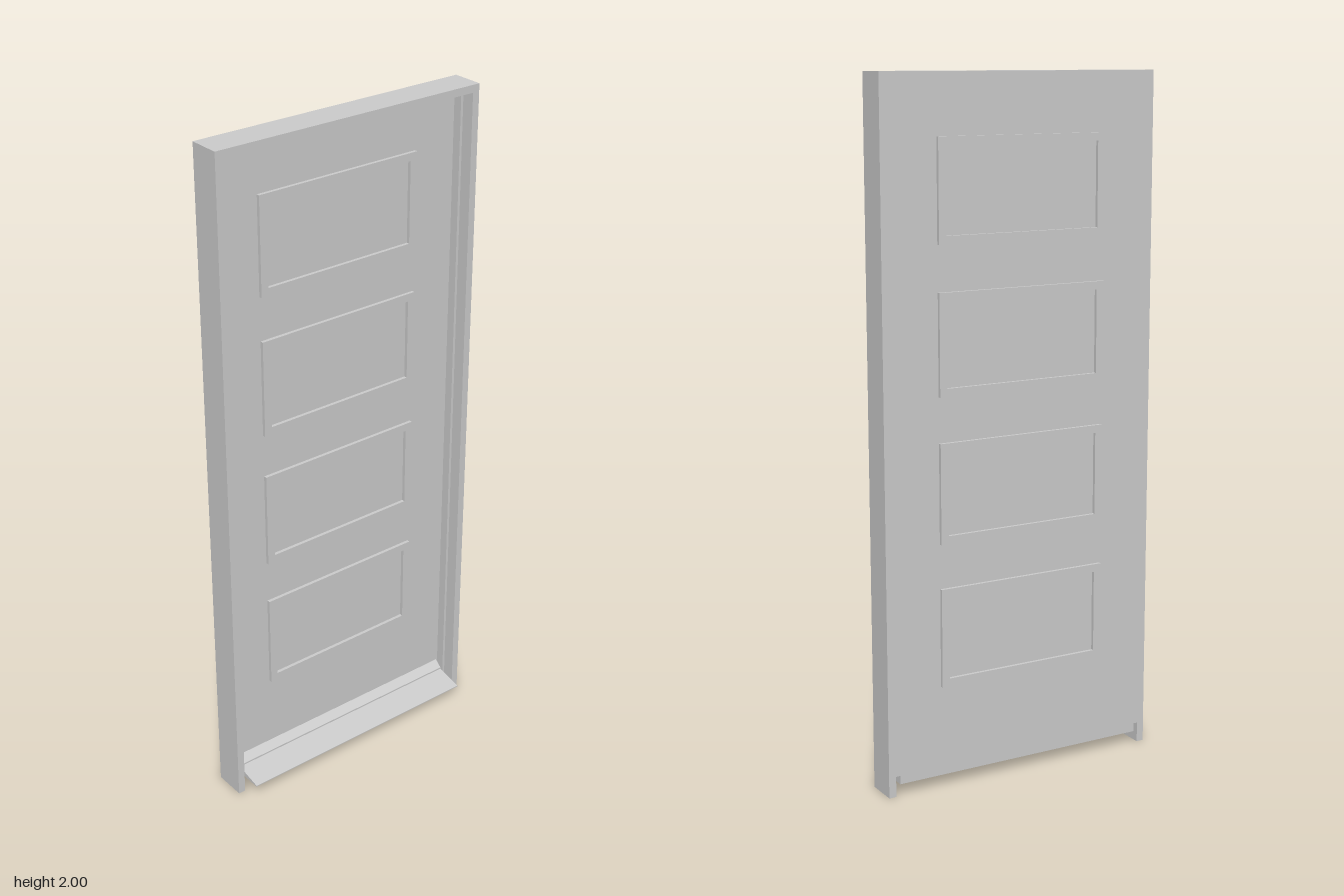
import * as THREE from 'three';

const material = new THREE.MeshStandardMaterial({ color: 0xcccccc });

// Extrude a polygon (with optional hole) between two z positions
function slab(name, points, z0, z1, hole) {
  const shape = new THREE.Shape(points.map(p => new THREE.Vector2(...p)));
  if (hole) shape.holes.push(new THREE.Path(hole.map(p => new THREE.Vector2(...p))));
  const geometry = new THREE.ExtrudeGeometry(shape, { depth: z1 - z0, bevelEnabled: false });
  geometry.translate(0, 0, z0);
  const mesh = new THREE.Mesh(geometry, material);
  mesh.name = name;
  return mesh;
}

const rect = (w, y0, y1) => [[-w, y0], [w, y0], [w, y1], [-w, y1]];

// Upside-down U, open at the bottom
const portal = (w, top, t, y0) => [
  [-w, y0], [-w + t, y0], [-w + t, top - t], [w - t, top - t],
  [w - t, y0], [w, y0], [w, top], [-w, top],
];

export function createModel() {
  const door = new THREE.Group();
  door.name = 'door';
  const back = -0.065, leafFront = -0.035, front = 0.03;

  // Outer frame and the narrow stop lining it in front of the leaf
  door.add(slab('frame', portal(0.43, 2, 0.022, 0), back, front));
  door.add(slab('frameStop', portal(0.408, 1.978, 0.008, 0.035), leafFront, -0.008));

  // Leaf, notched at its lower corners
  door.add(slab('leaf', [
    [-0.395, 0.035], [0.395, 0.035], [0.395, 0.06], [0.408, 0.06],
    [0.408, 1.978], [-0.408, 1.978], [-0.408, 0.06], [-0.395, 0.06],
  ], back, leafFront));

  // Four raised mouldings, standing proud on both faces
  for (let i = 0; i < 4; i++) {
    const y = 0.3 + i * 0.415;
    door.add(slab('panelMoulding' + (i + 1), rect(0.263, y, y + 0.286),
      back - 0.01, leafFront + 0.01, rect(0.24, y + 0.023, y + 0.263)));
  }

  // Sloped weather bar: side profile (z, y) extruded across the width
  const bar = slab('weatherBar', [
    [leafFront, 0.035], [0.072, 0.035], [0.072, 0.038], [-0.012, 0.056],
    [-0.012, 0.061], [leafFront, 0.08],
  ], -0.395, 0.395);
  bar.geometry.rotateY(-Math.PI / 2);
  door.add(bar);

  return door;
}
